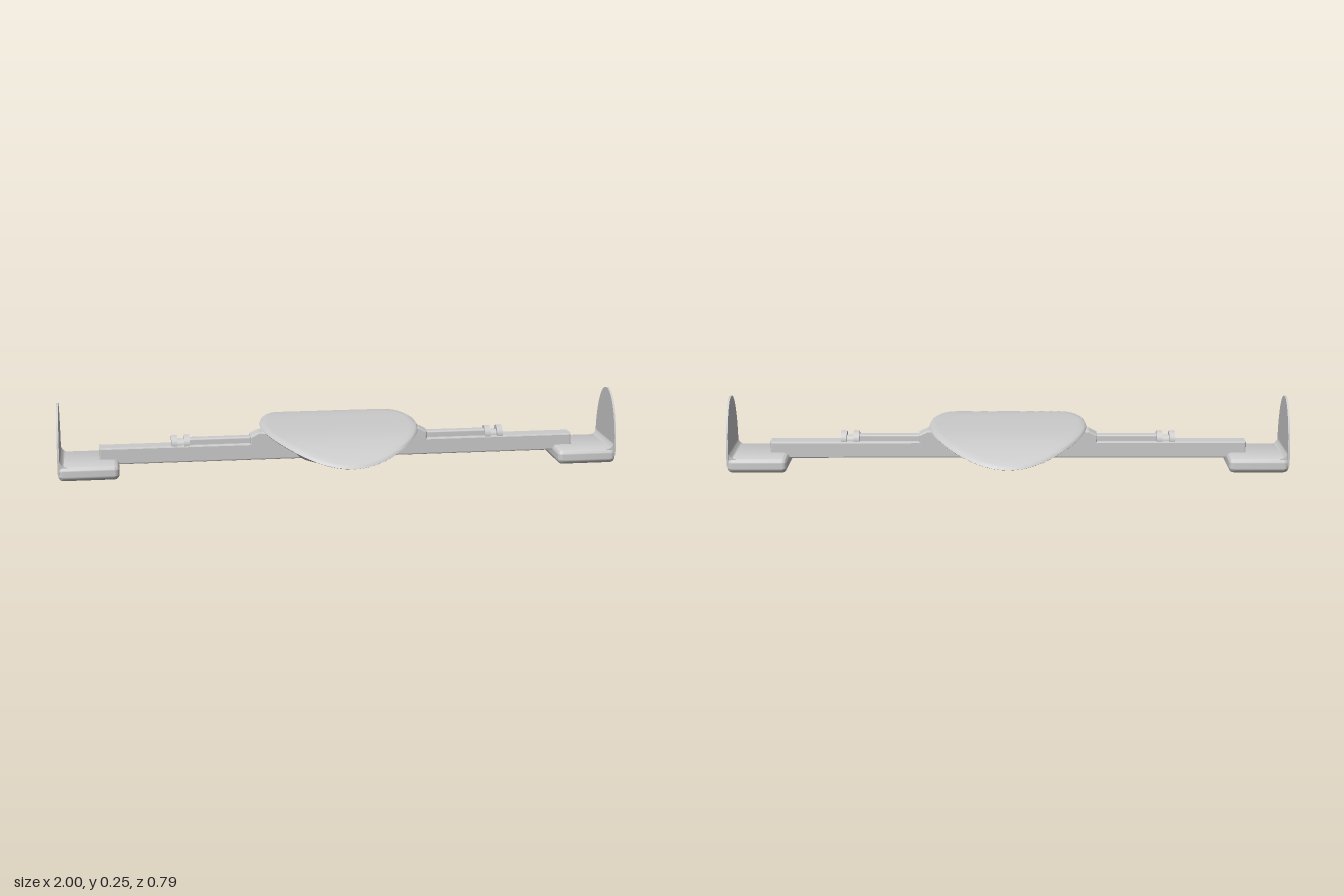
import * as THREE from 'three';
import { mergeVertices, toCreasedNormals } from 'three/addons/utils/BufferGeometryUtils.js';
import { RoundedBoxGeometry } from 'three/addons/geometries/RoundedBoxGeometry.js';

const grey = new THREE.MeshStandardMaterial({ color: 0xcccccc, side: THREE.DoubleSide });

function add(parent, name, geometry, x = 0, y = 0, z = 0) {
  const mesh = new THREE.Mesh(geometry, grey);
  mesh.name = name;
  mesh.position.set(x, y, z);
  parent.add(mesh);
  return mesh;
}

const vectors = (list) => list.map(([a, b]) => new THREE.Vector2(a, b));

// Oval disc from a unit profile, stretched in x and z
function ovalLathe(profile, rx, rz, bend = () => 0) {
  let g = new THREE.LatheGeometry(vectors(profile), 72);
  g.scale(rx, 1, rz);
  const p = g.attributes.position;
  for (let i = 0; i < p.count; i++) p.setY(i, p.getY(i) + bend(p.getZ(i)));
  g.deleteAttribute('uv');
  g.deleteAttribute('normal');
  g = mergeVertices(g);
  return toCreasedNormals(g, 0.7);
}

// Thin oval top that droops toward its front and back
function topPlate() {
  const profile = [];
  for (let i = 0; i <= 14; i++) {
    const r = (i / 14) * 0.96;
    profile.push([r, -0.026 + 0.011 * r ** 4]);
  }
  profile.push([0.985, -0.013], [1, -0.008], [0.99, -0.003]);
  for (let i = 14; i >= 0; i--) profile.push([(i / 14) * 0.97, 0]);
  return ovalLathe(profile, 0.282, 0.394, (z) => -0.063 * Math.pow(Math.abs(z) / 0.394, 3.2));
}

// Extrusion of an x-y side profile, centred on z
function bevelled(points, width, bevel) {
  const g = new THREE.ExtrudeGeometry(new THREE.Shape(vectors(points)), {
    depth: width - 2 * bevel, bevelThickness: bevel, bevelSize: bevel,
    bevelOffset: -bevel, bevelSegments: 2,
  });
  g.translate(0, 0, -width / 2 + bevel);
  return g;
}

// Upright end plate with an arched outline
function endPlate() {
  const s = new THREE.Shape();
  s.moveTo(-0.12, 0.03);
  s.lineTo(-0.12, 0.07);
  s.bezierCurveTo(-0.117, 0.16, -0.075, 0.258, 0, 0.258);
  s.bezierCurveTo(0.075, 0.258, 0.117, 0.16, 0.12, 0.07);
  s.lineTo(0.12, 0.03);
  const g = new THREE.ExtrudeGeometry(s, { depth: 0.007, bevelEnabled: false, curveSegments: 24 });
  g.rotateY(Math.PI / 2);
  return toCreasedNormals(g, 0.6);
}

// Foot block whose underside and top edges narrow slightly
function footPad() {
  const g = new RoundedBoxGeometry(0.212, 0.054, 0.244, 4, 0.018);
  const p = g.attributes.position;
  for (let i = 0; i < p.count; i++) {
    const y = p.getY(i);
    const k = y > 0 ? 1 - y * 1.2 : 1 + y * 0.8;
    p.setZ(i, p.getZ(i) * k);
  }
  g.computeVertexNormals();
  return toCreasedNormals(g, 0.6);
}

// One arm, built along +x
function arm(name) {
  const g = new THREE.Group();
  g.name = name;
  add(g, 'armBar', bevelled([
    [0, 0.037], [0.8, 0.037], [0.855, 0.045], [0.855, 0.097], [0.32, 0.097],
    [0.32, 0.122], [0.29, 0.137], [0, 0.137],
  ], 0.064, 0.005));
  add(g, 'slideRail', new RoundedBoxGeometry(0.23, 0.03, 0.036, 2, 0.006), 0.43, 0.104);

  // Pair of clamp rings around the rail
  for (const x of [0.545, 0.59]) {
    const ring = new THREE.CylinderGeometry(0.031, 0.031, 0.021, 24);
    ring.rotateZ(Math.PI / 2);
    add(g, 'clampRing', ring, x, 0.099);
  }
  const pin = new THREE.CylinderGeometry(0.02, 0.02, 0.05, 20);
  pin.rotateZ(Math.PI / 2);
  add(g, 'clampPin', pin, 0.567, 0.096);

  add(g, 'footPad', footPad(), 0.892, 0.03);
  add(g, 'endPlate', endPlate(), 0.992, 0);

  // Fillet where the plate rises from the pad
  const f = new THREE.Shape();
  f.moveTo(0.995, 0.045);
  f.lineTo(0.995, 0.085);
  f.quadraticCurveTo(0.99, 0.055, 0.965, 0.053);
  f.lineTo(0.965, 0.045);
  const fillet = new THREE.ExtrudeGeometry(f, { depth: 0.228, bevelEnabled: false, curveSegments: 8 });
  fillet.translate(0, 0, -0.114);
  add(g, 'plateFillet', toCreasedNormals(fillet, 0.5));
  return g;
}

export function createModel() {
  const model = new THREE.Group();
  model.name = 'ovalTopOnArms';

  add(model, 'ovalTop', topPlate(), 0, 0.159, 0);

  // Oval hub under the top, with a tapered side
  add(model, 'hub', ovalLathe([
    [0, 0.042], [0.78, 0.04], [0.86, 0.044], [0.92, 0.055], [0.99, 0.08],
    [1, 0.09], [0.985, 0.1], [0.94, 0.105], [0, 0.108],
  ], 0.172, 0.19));

  const left = arm('leftArm');
  const right = arm('rightArm');
  right.rotation.y = Math.PI;
  model.add(left, right);
  return model;
}
